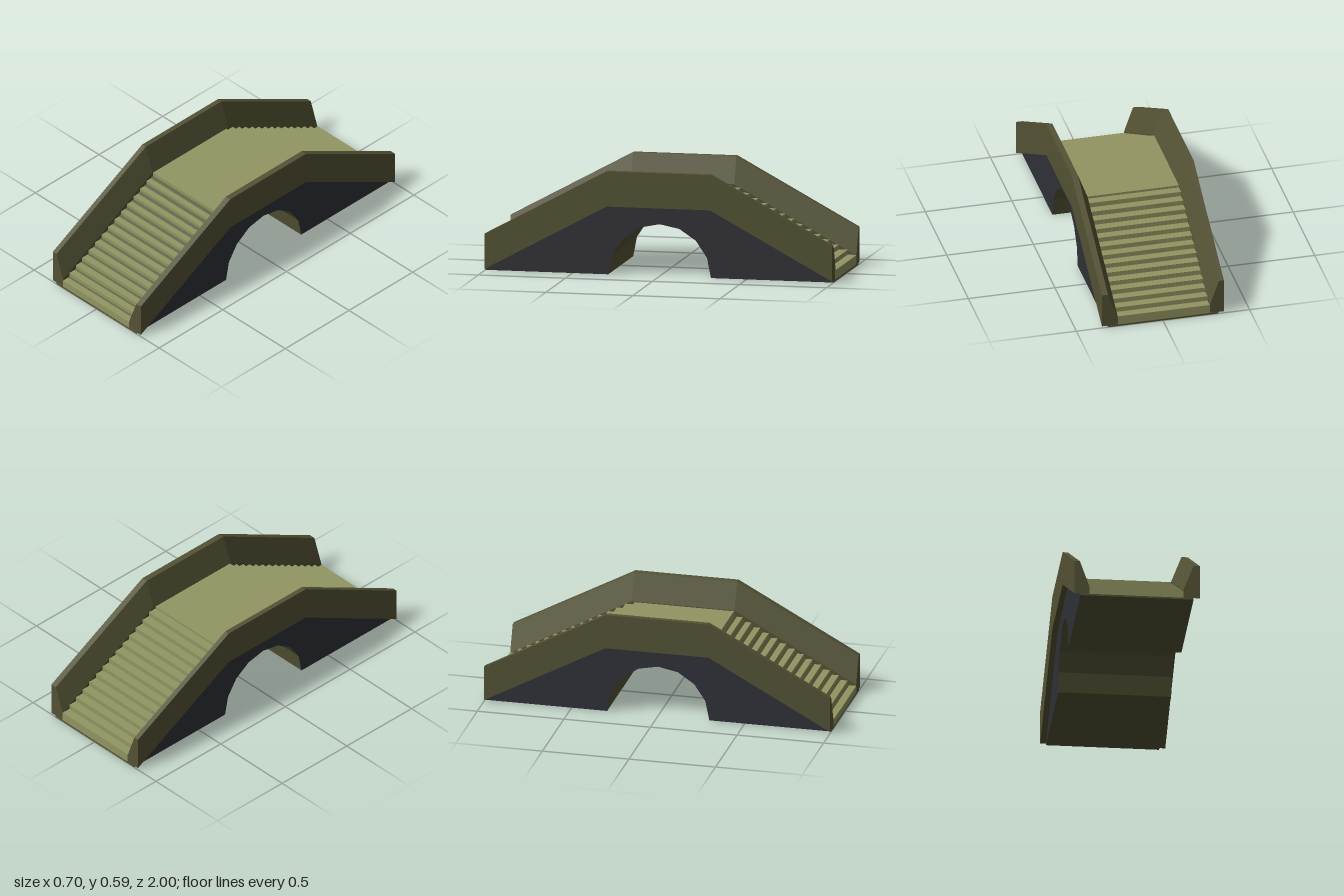
import * as THREE from 'three';

const brown = new THREE.MeshStandardMaterial({ color: 0x545335, flatShading: true });
const tan = new THREE.MeshStandardMaterial({ color: 0x929562, flatShading: true });
const slate = new THREE.MeshStandardMaterial({ color: 0x303138, flatShading: true });

const toShape = (points) => new THREE.Shape(points.map(([x, y]) => new THREE.Vector2(x, y)));

// Extrudes a side profile of [-z, y] points across the bridge from x0 to x1
function acrossBridge(name, points, x0, x1, material) {
  const geometry = new THREE.ExtrudeGeometry(toShape(points), { depth: x1 - x0, bevelEnabled: false });
  geometry.rotateY(Math.PI / 2).translate(x0, 0, 0);
  const mesh = new THREE.Mesh(geometry, material);
  mesh.name = name;
  return mesh;
}

// Arched base: sloped ends and an eight-sided half-round tunnel
function makeBase() {
  const points = [[1, 0], [1, 0.01], [0.3, 0.39], [-0.3, 0.39], [-1, 0.01], [-1, 0]];
  for (let i = 0; i <= 8; i++) {
    const a = Math.PI * (1 - i / 8);
    points.push([0.295 * Math.cos(a), 0.295 * Math.sin(a)]);
  }
  return acrossBridge('archedBase', points, -0.32, 0.317, [slate, brown]);
}

// Channel of floor and two parapets, bent over the four stations of the bridge
function makeParapets() {
  const section = toShape([
    [-0.352, 0], [0.352, 0], [0.352, 0.2], [0.317, 0.2], [0.26, 0.048], [0.26, 0.02],
    [-0.27, 0.02], [-0.27, 0.048], [-0.323, 0.2], [-0.352, 0.2],
  ]);
  const geometry = new THREE.ExtrudeGeometry(section, { depth: 3, steps: 3, bevelEnabled: false });
  const stations = [[-0.999, 0.01], [-0.297, 0.39], [0.297, 0.39], [0.999, 0.01]];
  const p = geometry.attributes.position;
  for (let i = 0; i < p.count; i++) {
    const [z, lift] = stations[Math.round(p.getZ(i))];
    p.setY(i, p.getY(i) + lift);
    p.setZ(i, z);
  }
  geometry.computeVertexNormals();
  const mesh = new THREE.Mesh(geometry, brown);
  mesh.name = 'parapetsAndRamp';
  return mesh;
}

// Front and back flights joined by the flat deck
function makeStairs() {
  const count = 14, top = 0.434;
  const points = [[-1, 0.01]];
  // Front flight, where the ramp shows in the inner corners
  for (let i = 0; i < count; i++) {
    const y = 0.052 + 0.027 * i;
    points.push([-1 + 0.0505 * i, y], [-1 + 0.0505 * (i + 1), y]);
  }
  points.push([-1 + 0.0505 * count, top], [1 - 0.0513 * count, top]);
  // Back flight, set a little higher so that it covers the ramp
  for (let i = count - 1; i >= 0; i--) {
    const y = 0.0625 + 0.0275 * i;
    points.push([1 - 0.0513 * (i + 1), y], [1 - 0.0513 * i, y]);
  }
  points.push([1, 0.01], [0.3, 0.391], [-0.3, 0.391]);
  return acrossBridge('stairsAndDeck', points, -0.27, 0.26, tan);
}

export function createModel() {
  const bridge = new THREE.Group();
  bridge.name = 'footbridge';
  bridge.add(makeBase(), makeParapets(), makeStairs());
  return bridge;
}
